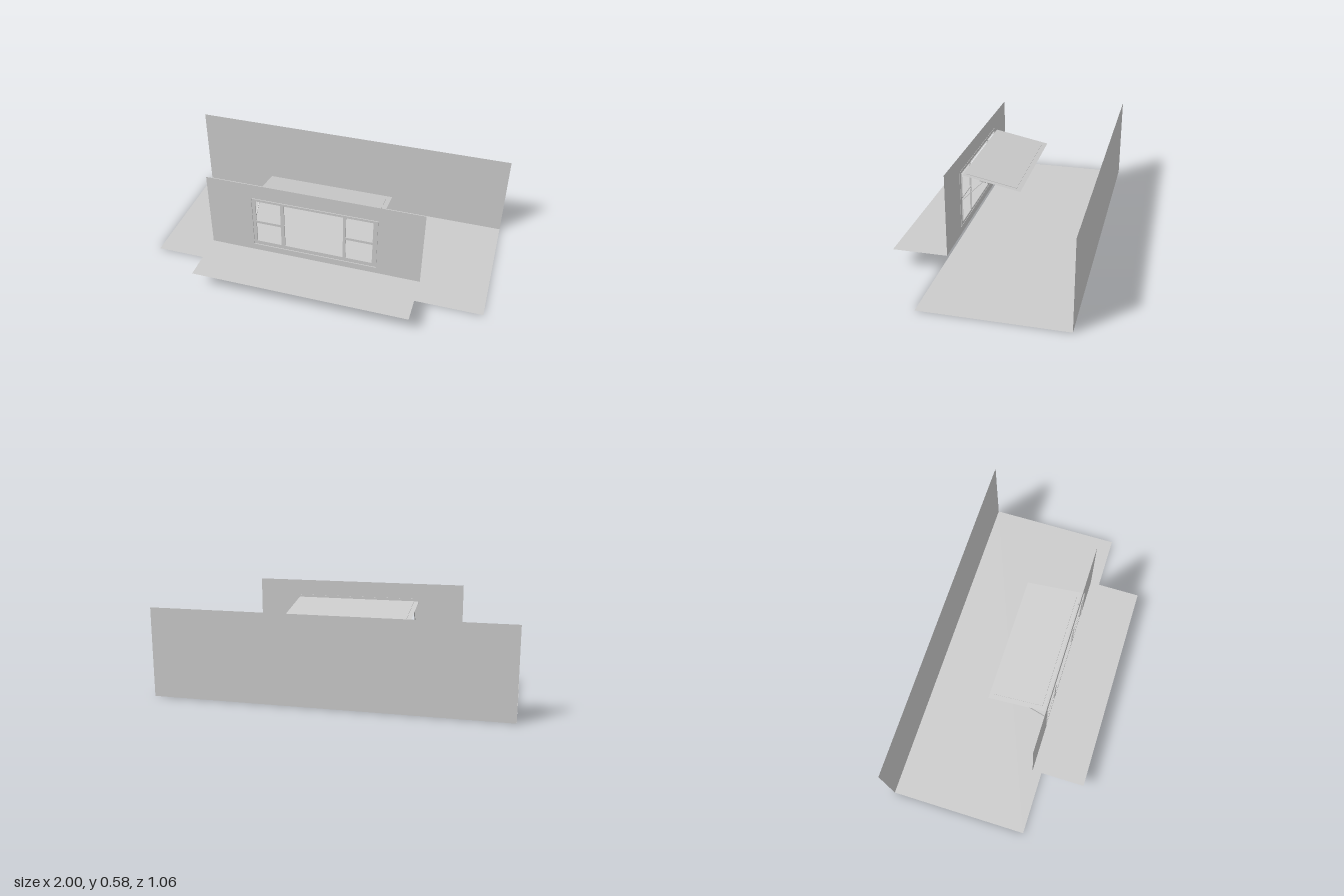
import * as THREE from 'three';

const mat = new THREE.MeshStandardMaterial({ color: 0xcccccc, side: THREE.DoubleSide });

export function createModel() {
  const root = new THREE.Group();
  const add = (parent, name, geometry, x = 0, y = 0, z = 0) => {
    const mesh = new THREE.Mesh(geometry, mat);
    mesh.name = name;
    mesh.position.set(x, y, z);
    parent.add(mesh);
    return mesh;
  };
  const floor = (name, w, d, x, y, z) =>
    add(root, name, new THREE.PlaneGeometry(w, d).rotateX(-Math.PI / 2), x, y, z);

  // Rectangular sleeve, open at its front and back
  const sleeve = (name, [x0, x1, y0, y1], z0, z1) => {
    const g = new THREE.BoxGeometry(x1 - x0, y1 - y0, z1 - z0);
    g.setIndex(Array.from(g.index.array.slice(0, 24)));
    g.clearGroups();
    add(root, name, g, (x0 + x1) / 2, (y0 + y1) / 2, (z0 + z1) / 2);
  };

  // Room floor and back wall
  floor('roomFloor', 2, 0.8, 0, 0, -0.13);
  add(root, 'backWall', new THREE.PlaneGeometry(2, 0.51), 0, 0.255, -0.53);

  // Outside ground
  floor('outerGround', 1.27, 0.31, -0.015, 0.108, 0.375);

  // Front wall with five window openings
  const openings = [
    [-0.36, -0.21, 0.328, 0.467],
    [-0.36, -0.21, 0.178, 0.312],
    [-0.188, 0.162, 0.178, 0.467],
    [0.178, 0.335, 0.328, 0.467],
    [0.178, 0.335, 0.178, 0.312],
  ];
  const rect = (Type, [x0, x1, y0, y1]) => new Type([
    new THREE.Vector2(x0, y0), new THREE.Vector2(x1, y0),
    new THREE.Vector2(x1, y1), new THREE.Vector2(x0, y1),
  ]);
  const wall = rect(THREE.Shape, [-0.65, 0.62, 0.108, 0.578]);
  wall.holes = openings.map((o) => rect(THREE.Path, o));
  add(root, 'frontWall', new THREE.ShapeGeometry(wall), 0, 0, 0.22);
  openings.forEach((o) => sleeve('windowReveal', o, 0.213, 0.22));
  sleeve('windowTrim', [-0.38, 0.362, 0.153, 0.486], 0.218, 0.225);

  // Raised awning: thin sheet, thicker core and lower lip
  const awning = new THREE.Group();
  awning.name = 'awning';
  awning.position.set(-0.01, 0.441, 0.04);
  awning.rotation.x = -Math.atan(0.2);
  root.add(awning);
  add(awning, 'awningSheet', new THREE.PlaneGeometry(0.75, 0.334).rotateX(-Math.PI / 2));
  add(awning, 'awningCore', new THREE.BoxGeometry(0.695, 0.006, 0.288), 0, 0, 0.005);
  add(awning, 'awningLip', new THREE.BoxGeometry(0.695, 0.005, 0.012), 0, -0.005, -0.144);

  // Support struts and their brackets on both sides
  const foot = new THREE.Vector3(0, 0.322, 0.206);
  const head = new THREE.Vector3(0, 0.442, 0.088);
  const span = head.clone().sub(foot);
  for (const x of [-0.372, 0.352]) {
    const strut = add(root, 'awningStrut', new THREE.BoxGeometry(0.004, span.length(), 0.004));
    strut.position.copy(foot).add(head).multiplyScalar(0.5).setX(x);
    strut.quaternion.setFromUnitVectors(new THREE.Vector3(0, 1, 0), span.clone().normalize());
    add(awning, 'strutBracket', new THREE.BoxGeometry(0.006, 0.008, 0.035), x + 0.01, -0.007, 0.05);
  }
  return root;
}
